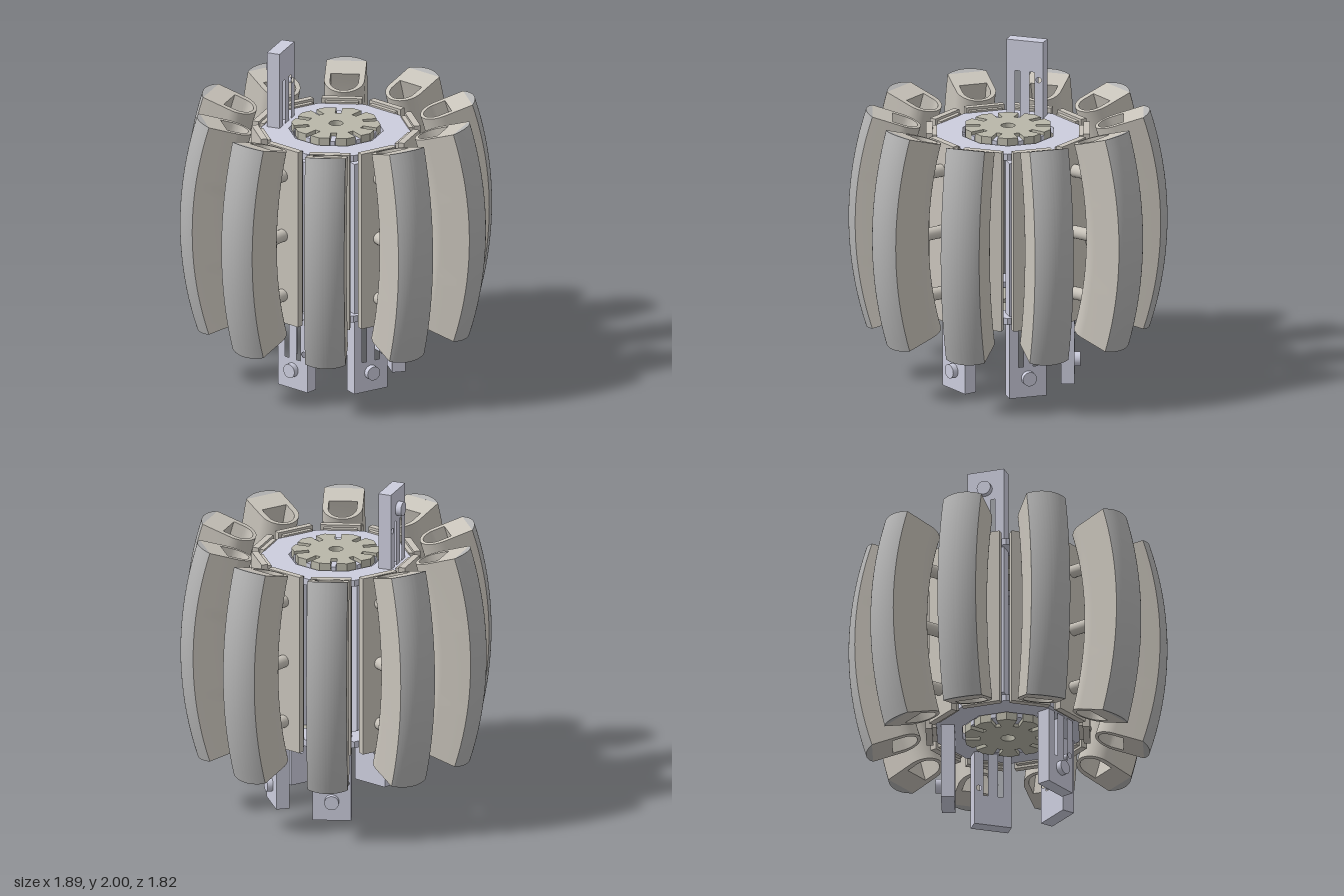
import * as THREE from 'three';
import { toCreasedNormals } from 'three/addons/utils/BufferGeometryUtils.js';

const warm = new THREE.MeshStandardMaterial({ color: 0xc9c4bb });
const shell = new THREE.MeshStandardMaterial({ color: 0xb4b4b4 });
const olive = new THREE.MeshStandardMaterial({ color: 0xb9b7a9 });
const metal = new THREE.MeshStandardMaterial({ color: 0xcccddd });

const COUNT = 10, STEP = Math.PI / 5;
const ARC_R = 2.2, ARC_X = -1.255, ARC_HALF = 0.309;

function add(parent, name, geo, mat, x = 0, y = 0, z = 0) {
  const m = new THREE.Mesh(geo, mat);
  m.name = name;
  m.position.set(x, y, z);
  parent.add(m);
  return m;
}

// Sweep a section (x = outward, y = sideways) along the vertical barrel arc
function bent(shape) {
  const g = new THREE.ExtrudeGeometry(shape, { depth: 2, steps: 20, bevelEnabled: false, curveSegments: 20 });
  const p = g.attributes.position;
  for (let i = 0; i < p.count; i++) {
    const a = (p.getZ(i) - 1) * ARC_HALF, r = ARC_R + p.getX(i);
    p.setXYZ(i, ARC_X + r * Math.cos(a), 1 + r * Math.sin(a), -p.getY(i));
  }
  return toCreasedNormals(g, 0.5);
}

// Horizontal plate standing on y = 0
function plate(shape, depth) {
  return new THREE.ExtrudeGeometry(shape, { depth, bevelEnabled: false, curveSegments: 24 }).rotateX(-Math.PI / 2);
}

function rectPath(x0, y0, x1, y1) {
  return new THREE.Path([[x0, y0], [x0, y1], [x1, y1], [x1, y0]].map(c => new THREE.Vector2(...c)));
}

function decagon(r) {
  return Array.from({ length: COUNT }, (_, i) => {
    const a = (i + 0.5) * STEP;
    return new THREE.Vector2(r * Math.cos(a), r * Math.sin(a));
  });
}

// Rounded body section with a D-shaped channel
function petalGeometry() {
  const s = new THREE.Shape();
  s.moveTo(-0.04, -0.12);
  s.lineTo(-0.04, 0.12);
  s.lineTo(-0.22, 0.12);
  s.absarc(-0.22, 0, 0.12, Math.PI / 2, Math.PI * 1.5, false);
  const h = new THREE.Path();
  h.moveTo(-0.165, -0.085);
  h.lineTo(-0.165, 0.085);
  h.lineTo(-0.235, 0.085);
  h.absarc(-0.235, 0, 0.085, Math.PI / 2, Math.PI * 1.5, false);
  s.holes.push(h);
  return bent(s);
}

// Domed outer cover section
function coverGeometry() {
  const s = new THREE.Shape();
  s.absarc(-0.2, 0, 0.2, -0.6435, 0.6435, false);
  return bent(s);
}

// Disc with a radial slot towards every petal
function gearGeometry() {
  const pts = [], w = 0.018, outer = 0.265, flat = outer * Math.cos(STEP / 2);
  for (let i = 0; i < COUNT; i++) {
    const a = i * STEP, o = new THREE.Vector2();
    for (const [r, t] of [[flat, -w], [0.165, -w], [0.165, w], [flat, w]])
      pts.push(new THREE.Vector2(r, t).rotateAround(o, a));
    pts.push(new THREE.Vector2(outer, 0).rotateAround(o, a + STEP / 2));
  }
  const s = new THREE.Shape(pts);
  s.holes.push(new THREE.Path().absarc(0, 0, 0.042, 0, Math.PI * 2, true));
  return plate(s, 0.05);
}

// Long slotted bar with a bolt near its free end
function slottedBar() {
  const g = new THREE.Group();
  g.name = 'slottedBar';
  const s = new THREE.Shape(rectPath(-0.115, 0, 0.115, 1.46).getPoints());
  s.holes.push(rectPath(-0.06, 0.19, -0.03, 1.3), rectPath(0.03, 0.19, 0.06, 1.3));
  s.holes.push(new THREE.Path().absarc(0.087, 0.235, 0.017, 0, Math.PI * 2, true));
  const geo = new THREE.ExtrudeGeometry(s, { depth: 0.08, bevelEnabled: false }).rotateY(Math.PI / 2);
  add(g, 'bar', geo, metal, 0.315);
  add(g, 'bolt', new THREE.CylinderGeometry(0.043, 0.043, 0.06, 24).rotateZ(Math.PI / 2), metal, 0.4, 0.12);
  return g;
}

export function createModel() {
  const model = new THREE.Group();
  model.name = 'petalBarrel';

  const petal = petalGeometry(), cover = coverGeometry();
  const backing = new THREE.BoxGeometry(0.03, 1.08, 0.2);
  const panel = new THREE.BoxGeometry(0.04, 1.11, 0.24);
  const pin = new THREE.CylinderGeometry(0.038, 0.038, 0.18, 20).rotateZ(Math.PI / 2);
  const fin = new THREE.BoxGeometry(0.09, 1.1, 0.03);

  // Ten petals with their mounting panels, pins and inner fins
  for (let i = 0; i < COUNT; i++) {
    const spoke = new THREE.Group();
    spoke.name = 'petalUnit';
    spoke.rotation.y = -i * STEP;
    add(spoke, 'petal', petal, warm);
    add(spoke, 'petalCover', cover, shell);
    add(spoke, 'mountBacking', backing, warm, 0.435, 1);
    add(spoke, 'mountPanel', panel, warm, 0.466, 1);
    for (const y of [0.62, 1, 1.38]) add(spoke, 'pin', pin, warm, 0.56, y);
    add(spoke, 'fin', fin, metal, 0.21, 1);
    model.add(spoke);
  }

  // End rings and slotted discs, mirrored top and bottom
  const ringShape = new THREE.Shape(decagon(0.445));
  ringShape.holes.push(new THREE.Path(decagon(0.282)));
  const ring = plate(ringShape, 0.04), gear = gearGeometry();
  add(model, 'topRing', ring, metal, 0, 1.49);
  add(model, 'bottomRing', ring, metal, 0, 0.47);
  add(model, 'topSlottedDisc', gear, olive, 0, 1.52);
  add(model, 'bottomSlottedDisc', gear, olive, 0, 0.43);

  // Five sliding bars: four hang down, one stands up
  for (let i = 0; i < 5; i++) {
    const holder = new THREE.Group();
    holder.name = 'barHolder';
    holder.rotation.y = -i * 2 * STEP;
    const bar = slottedBar();
    if (i === 3) {
      bar.rotation.x = Math.PI;
      bar.position.y = 2;
    }
    holder.add(bar);
    model.add(holder);
  }
  return model;
}
